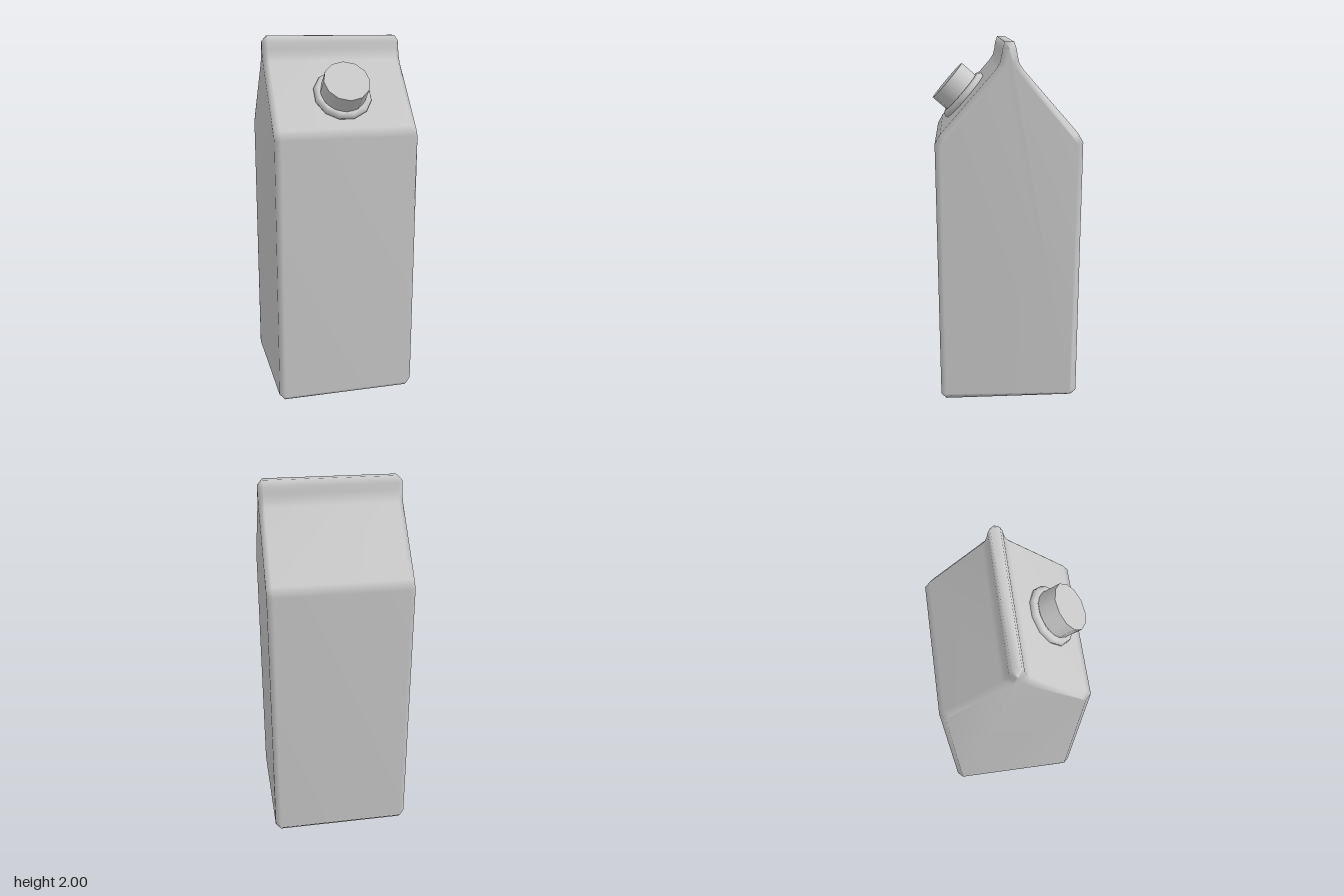
import * as THREE from 'three';
import { mergeVertices } from 'three/addons/utils/BufferGeometryUtils.js';

const BEVEL = 0.03;

// Weld the corners so bevels shade softly while the broad panels stay flat
function softened(geometry) {
  geometry.deleteAttribute('uv');
  geometry.deleteAttribute('normal');
  const welded = mergeVertices(geometry, 1e-4);
  welded.computeVertexNormals();
  return welded;
}

export function createModel() {
  const model = new THREE.Group();
  const material = new THREE.MeshStandardMaterial({ color: 0xcccccc });
  const add = (parent, name, geometry) => {
    const mesh = new THREE.Mesh(geometry, material);
    mesh.name = name;
    parent.add(mesh);
    return mesh;
  };

  // Carton: half of the end profile (bottom to ridge), mirrored and extruded sideways
  const half = [
    [0.36, 0], [0.389, 0.03], [0.389, 1.485], [0.36, 1.535],
    [0.068, 1.866], [0.05, 1.895], [0.041, 1.93], [0.036, 1.965], [0.024, 2],
  ];
  const mirrored = half.map(([u, y]) => [-u, y]).reverse();
  const profile = new THREE.Shape([...half, ...mirrored].map(([u, y]) => new THREE.Vector2(u, y)));
  const depth = 0.72;
  const body = new THREE.ExtrudeGeometry(profile, {
    depth, bevelSize: BEVEL, bevelOffset: -BEVEL, bevelThickness: BEVEL, bevelSegments: 1,
  });
  body.translate(0, 0, -depth / 2).rotateY(Math.PI / 2);
  add(model, 'carton', softened(body)).position.z = -0.006;

  // Spout on the front roof panel, its axis square to the slope
  const spout = new THREE.Group();
  spout.name = 'spout';
  spout.position.set(0.005, 1.69, 0.217);
  spout.rotation.x = Math.atan2(0.75, 0.661);
  model.add(spout);

  // Collar ring
  const ring = new THREE.TorusGeometry(0.137, 0.023, 8, 12);
  ring.rotateX(Math.PI / 2).rotateY(Math.PI / 12);
  add(spout, 'collar', ring).position.y = 0.012;

  // Screw cap
  const cap = new THREE.CylinderGeometry(0.125, 0.125, 0.152, 12);
  add(spout, 'cap', cap).position.y = 0.056;

  return model;
}
